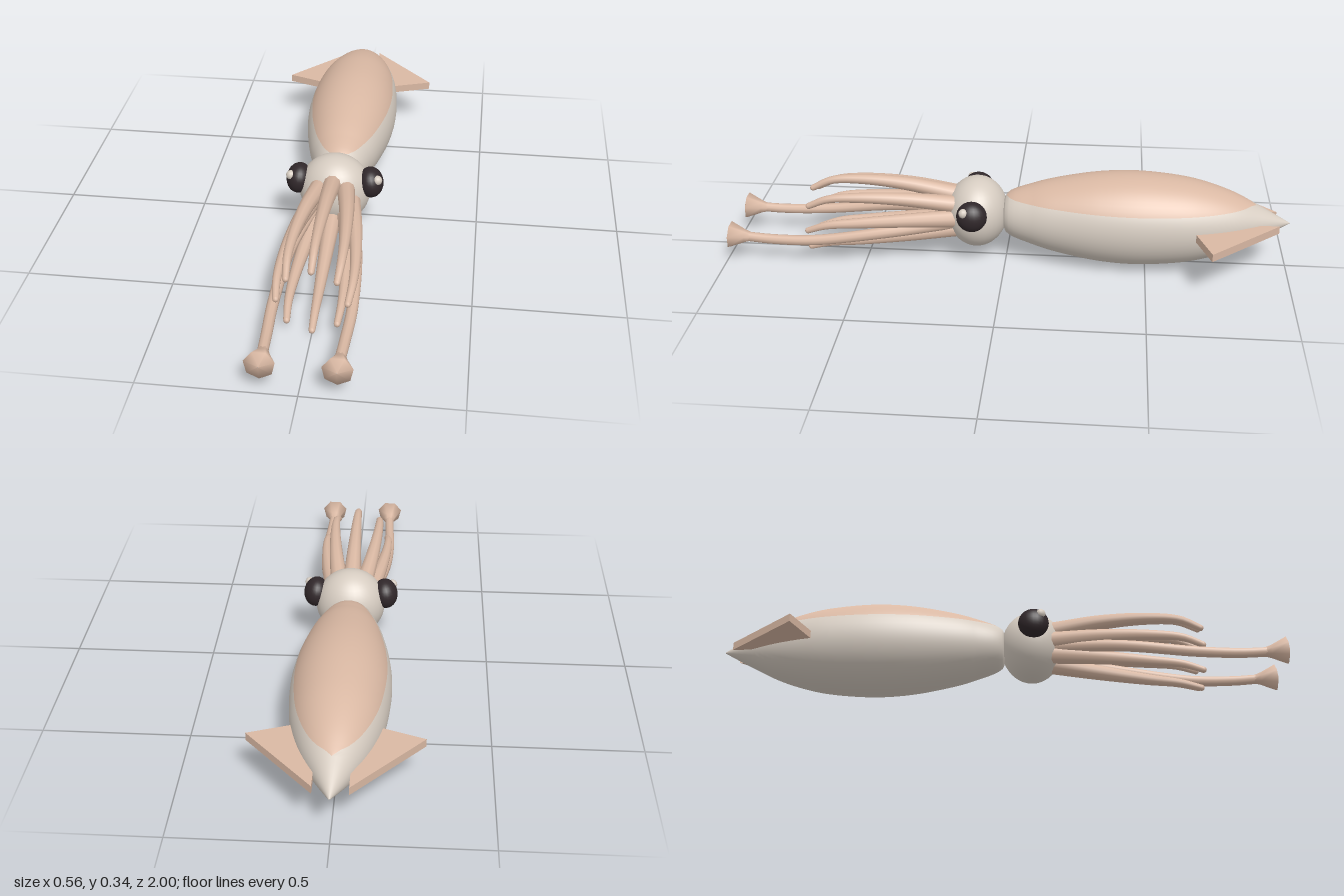
import * as THREE from 'three';
import { mergeGeometries } from 'three/addons/utils/BufferGeometryUtils.js';
import { ParametricGeometry } from 'three/addons/geometries/ParametricGeometry.js';

const AXIS_Y = 0.184; // height of the body axis
const V3 = (x, y, z) => new THREE.Vector3(x, y, z);

const material = (name, color) => {
  const m = new THREE.MeshStandardMaterial({ color });
  m.name = name;
  return m;
};

const add = (parent, name, geometry, mat) => {
  const mesh = new THREE.Mesh(geometry, mat);
  mesh.name = name;
  parent.add(mesh);
  return mesh;
};

// Tube along a smooth path, narrowing from r0 to r1, with a rounded tip
function taperedTube(points, r0, r1, segments = 24, sides = 10) {
  const curve = new THREE.CatmullRomCurve3(points);
  const tube = new THREE.TubeGeometry(curve, segments, 1, sides);
  const pos = tube.attributes.position;
  const p = V3(0, 0, 0);
  for (let i = 0; i < pos.count; i++) {
    const t = Math.floor(i / (sides + 1)) / segments;
    const centre = curve.getPointAt(t);
    p.fromBufferAttribute(pos, i).sub(centre).multiplyScalar(r0 + (r1 - r0) * t).add(centre);
    pos.setXYZ(i, p.x, p.y, p.z);
  }
  const end = points[points.length - 1];
  const tip = new THREE.SphereGeometry(r1, sides, 6).translate(end.x, end.y, end.z);
  return mergeGeometries([tube, tip]);
}

export function createModel() {
  const model = new THREE.Group();
  model.name = 'squid';
  const tan = material('tan skin', 0xd9b8a3);
  const cream = material('cream skin', 0xd6ccc1);
  const dark = material('dark eye', 0x30272a);

  // Mantle: round sections along z, split at a level line into back and belly
  const profile = new THREE.SplineCurve([
    [0, 0.002], [0, 0.07], [-0.1, 0.112], [-0.2, 0.138], [-0.33, 0.16], [-0.46, 0.167],
    [-0.6, 0.157], [-0.7, 0.138], [-0.8, 0.105], [-0.9, 0.056], [-1, 0.002],
  ].map(([z, r]) => new THREE.Vector2(z, r)));
  const mantlePatch = (isBack) => new ParametricGeometry((u, v, target) => {
    const { x: z, y: r } = profile.getPoint(u);
    const seam = Math.asin(Math.min(1, 0.073 / Math.max(r, 0.002)));
    const from = isBack ? seam : Math.PI - seam;
    const to = isBack ? Math.PI - seam : Math.PI * 2 + seam;
    const a = from + (to - from) * v;
    target.set(r * Math.cos(a), AXIS_Y + r * Math.sin(a), z);
  }, 50, isBack ? 20 : 32);
  add(model, 'mantleBack', mantlePatch(true), tan);
  add(model, 'mantleBelly', mantlePatch(false), cream);

  // Head
  const head = add(model, 'head', new THREE.SphereGeometry(1, 32, 24), cream);
  head.scale.set(0.125, 0.128, 0.11);
  head.position.set(0, AXIS_Y + 0.003, 0.105);

  // Eight arms in a ring: [z, distance from axis, droop]
  const armPath = [
    [0.17, 0.064, 0], [0.35, 0.098, 0], [0.52, 0.118, 0.008], [0.63, 0.121, 0.02], [0.7, 0.114, 0.046],
  ];
  for (let i = 0; i < 8; i++) {
    const a = (i * Math.PI) / 4;
    const points = armPath.map(([z, r, drop]) => V3(r * Math.cos(a), AXIS_Y + r * Math.sin(a) - drop, z));
    add(model, `arm${i + 1}`, taperedTube(points, 0.032, 0.011), tan);
  }

  // Paired parts
  for (const s of [1, -1]) {
    const side = s > 0 ? 'left' : 'right';

    // Eye with a small pale highlight
    const eye = add(model, `${side}Eye`, new THREE.SphereGeometry(1, 24, 16), dark);
    eye.scale.set(0.044, 0.054, 0.054);
    eye.position.set(s * 0.126, 0.224, 0.112);
    eye.rotation.z = s * 0.15;
    const glint = add(model, `${side}EyeGlint`, new THREE.SphereGeometry(0.017, 12, 8), cream);
    glint.position.set(s * 0.151, 0.248, 0.138);

    // Triangular fin
    const shape = new THREE.Shape([
      new THREE.Vector2(s * 0.056, -0.96),
      new THREE.Vector2(s * 0.281, -0.715),
      new THREE.Vector2(s * 0.056, -0.636),
    ]);
    const fin = new THREE.ExtrudeGeometry(shape, { depth: 0.028, bevelEnabled: false });
    add(model, `${side}Fin`, fin.rotateX(Math.PI / 2).scale(1, 1, 1).translate(0, 0.198, 0), tan);

    // Long feeding tentacle ending in a flared club
    const stalk = [
      V3(s * 0.055, 0.165, 0.17), V3(s * 0.11, 0.14, 0.42), V3(s * 0.126, 0.106, 0.68),
      V3(s * 0.121, 0.101, 0.83), V3(s * 0.117, 0.106, 0.93),
    ];
    add(model, `${side}Tentacle`, taperedTube(stalk, 0.022, 0.017), tan);
    const clubProfile = [[0.016, 0], [0.024, 0.025], [0.049, 0.078], [0.001, 0.09]]
      .map(([r, h]) => new THREE.Vector2(r, h));
    const club = add(model, `${side}Club`, new THREE.LatheGeometry(clubProfile, 7), tan);
    club.rotation.set(Math.PI / 2 - 0.07, 0, 0);
    club.position.set(s * 0.117, 0.104, 0.907);
  }
  return model;
}
